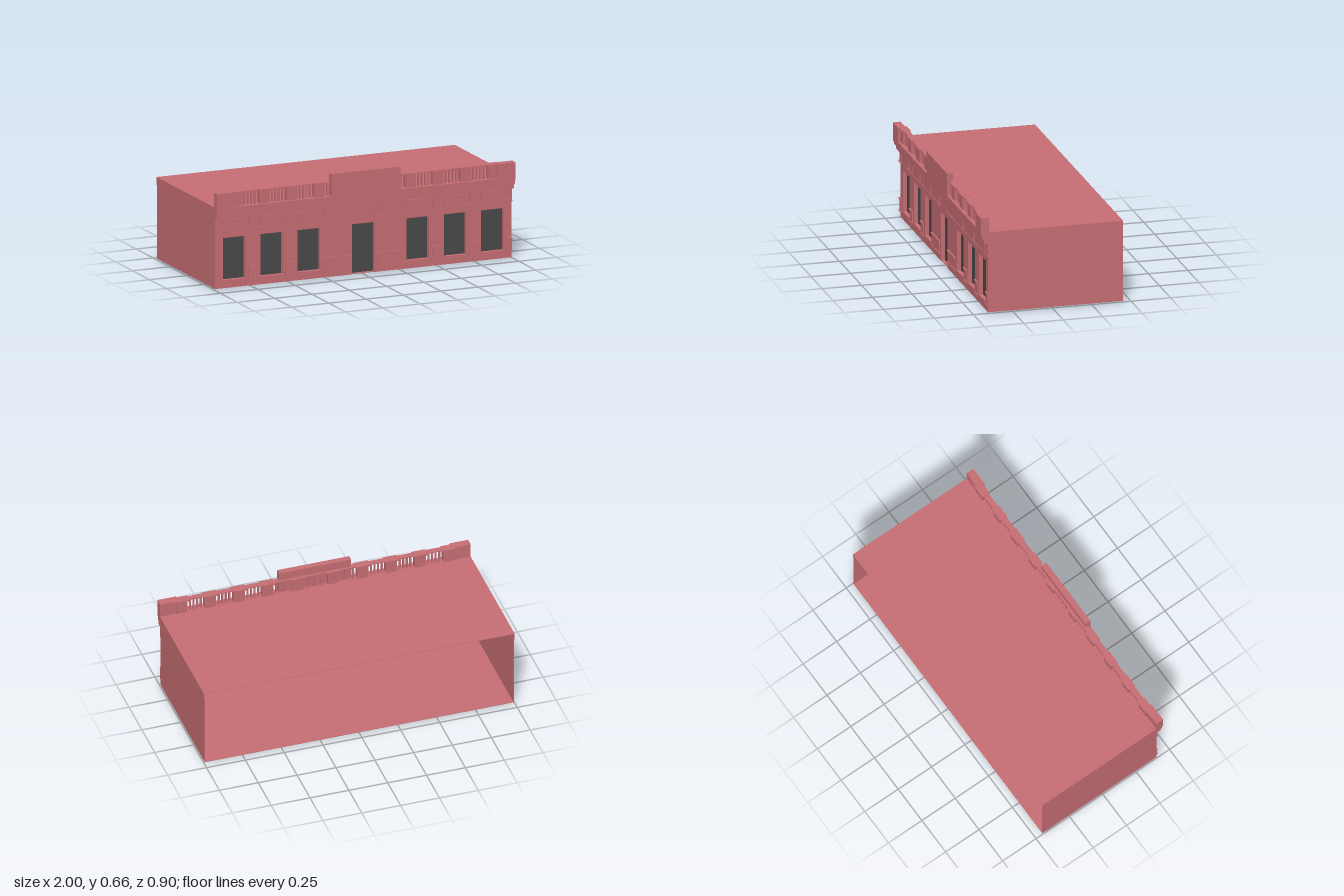
import * as THREE from 'three';

const brick = new THREE.MeshStandardMaterial({ color: 0xc76e74, side: THREE.DoubleSide });
const dark = new THREE.MeshStandardMaterial({ color: 0x4a4a4a });

// Box given by its extents on each axis
function slab(parent, name, [x0, x1], [y0, y1], [z0, z1], material = brick) {
  const mesh = new THREE.Mesh(new THREE.BoxGeometry(x1 - x0, y1 - y0, z1 - z0), material);
  mesh.position.set((x0 + x1) / 2, (y0 + y1) / 2, (z0 + z1) / 2);
  mesh.name = name;
  parent.add(mesh);
  return mesh;
}

// The same box on both sides of the centre line
function pair(parent, name, [x0, x1], y, z, material) {
  slab(parent, name + 'Left', [x0, x1], y, z, material);
  slab(parent, name + 'Right', [-x1, -x0], y, z, material);
}

function rectPath(x0, x1, y0, y1) {
  return new THREE.Path([
    new THREE.Vector2(x0, y0), new THREE.Vector2(x0, y1),
    new THREE.Vector2(x1, y1), new THREE.Vector2(x1, y0),
  ]);
}

const windows = [0.365, 0.615, 0.865];
const half = 0.075;

// Thin shell, open at the back
function buildShell() {
  const g = new THREE.Group();
  g.name = 'shell';
  slab(g, 'floor', [-0.995, 0.995], [0.005, 0.008], [-0.45, 0.4]);
  slab(g, 'roof', [-1, 1], [0.517, 0.52], [-0.45, 0.41]);
  pair(g, 'sideWall', [0.992, 0.995], [0.005, 0.475], [-0.45, 0.4]);
  pair(g, 'sideBand', [0.995, 1], [0.472, 0.52], [-0.45, 0.44]);

  // Front wall with window holes and a door notch
  const shape = new THREE.Shape();
  [[-0.995, 0.005], [-half, 0.005], [-half, 0.32], [half, 0.32], [half, 0.005],
    [0.995, 0.005], [0.995, 0.5], [-0.995, 0.5]].forEach(([x, y], i) =>
    i ? shape.lineTo(x, y) : shape.moveTo(x, y));
  for (const x of windows) for (const s of [-1, 1])
    shape.holes.push(rectPath(s * x - half, s * x + half, 0.055, 0.32));
  const wall = new THREE.Mesh(
    new THREE.ExtrudeGeometry(shape, { depth: 0.025, bevelEnabled: false }), brick);
  wall.position.z = 0.38;
  wall.name = 'frontWall';
  g.add(wall);
  return g;
}

// Dark boxes set behind the openings
function buildOpenings() {
  const g = new THREE.Group();
  g.name = 'openings';
  for (const x of windows)
    pair(g, 'window', [x - 0.1, x + 0.1], [0.003, 0.34], [0.342, 0.38], dark);
  slab(g, 'door', [-0.1, 0.1], [0, 0.34], [0.342, 0.38], dark);
  slab(g, 'doorBacking', [-0.12, 0.12], [0.006, 0.345], [0.335, 0.341]);
  return g;
}

// Raised panels, mouldings and the stepped cornice
function buildFacadeTrim() {
  const g = new THREE.Group();
  g.name = 'facadeTrim';
  const gaps = [[0.095, 0.27], [0.46, 0.52], [0.71, 0.77], [0.96, 0.995]];
  for (const [a, b] of gaps) {
    pair(g, 'basePanel', [a, b], [0.055, 0.12], [0.4, 0.411]);
    pair(g, 'basePanelCap', [a - 0.004, b], [0.12, 0.13], [0.4, 0.416]);
    pair(g, 'basePanelFoot', [a - 0.004, b], [0.045, 0.055], [0.4, 0.416]);
    pair(g, 'narrowFriezePanel', [a, b], [0.37, 0.445], [0.4, 0.411]);
  }
  for (const x of windows)
    pair(g, 'wideFriezePanel', [x - 0.08, x + 0.08], [0.37, 0.436], [0.4, 0.413]);
  pair(g, 'friezeLedge', [0.08, 0.995], [0.361, 0.371], [0.4, 0.416]);
  slab(g, 'corniceLower', [-0.998, 0.998], [0.445, 0.472], [0.4, 0.433]);
  slab(g, 'corniceMiddle', [-1, 1], [0.472, 0.497], [0.4, 0.443]);
  slab(g, 'corniceTop', [-1, 1], [0.497, 0.521], [0.4, 0.452]);
  return g;
}

// Balustrade with piers, end blocks and a raised centre block
function buildParapet() {
  const g = new THREE.Group();
  g.name = 'parapet';
  const y = [0.52, 0.603];
  const piers = [0.115, 0.305, 0.49, 0.675, 0.86];
  const pierHalf = 0.035;
  slab(g, 'centreBlock', [-0.235, 0.23], [0.497, 0.662], [0.414, 0.452]);
  pair(g, 'endBlock', [0.88, 1], [0.52, 0.612], [0.402, 0.452]);
  slab(g, 'rail', [-0.95, 0.95], [0.603, 0.61], [0.4, 0.435]);
  for (const x of piers) {
    pair(g, 'pier', [x - pierHalf, x + pierHalf], y, [0.397, 0.436]);
    pair(g, 'pierCap', [x - 0.045, x + 0.045], [0.602, 0.611], [0.39, 0.442]);
  }
  // Four balusters in each bay between piers
  for (let i = 0; i < piers.length - 1; i++) {
    const start = piers[i] + pierHalf;
    const width = piers[i + 1] - pierHalf - start;
    for (let k = 1; k <= 4; k++) {
      const x = start + width * k / 5;
      pair(g, 'baluster', [x - 0.005, x + 0.005], y, [0.41, 0.424]);
    }
  }
  for (const k of [-1, 0, 1])
    slab(g, 'centreBaluster', [k * 0.04 - 0.005, k * 0.04 + 0.005], y, [0.405, 0.414]);
  return g;
}

export function createModel() {
  const model = new THREE.Group();
  model.name = 'building';
  model.add(buildShell(), buildOpenings(), buildFacadeTrim(), buildParapet());
  return model;
}
